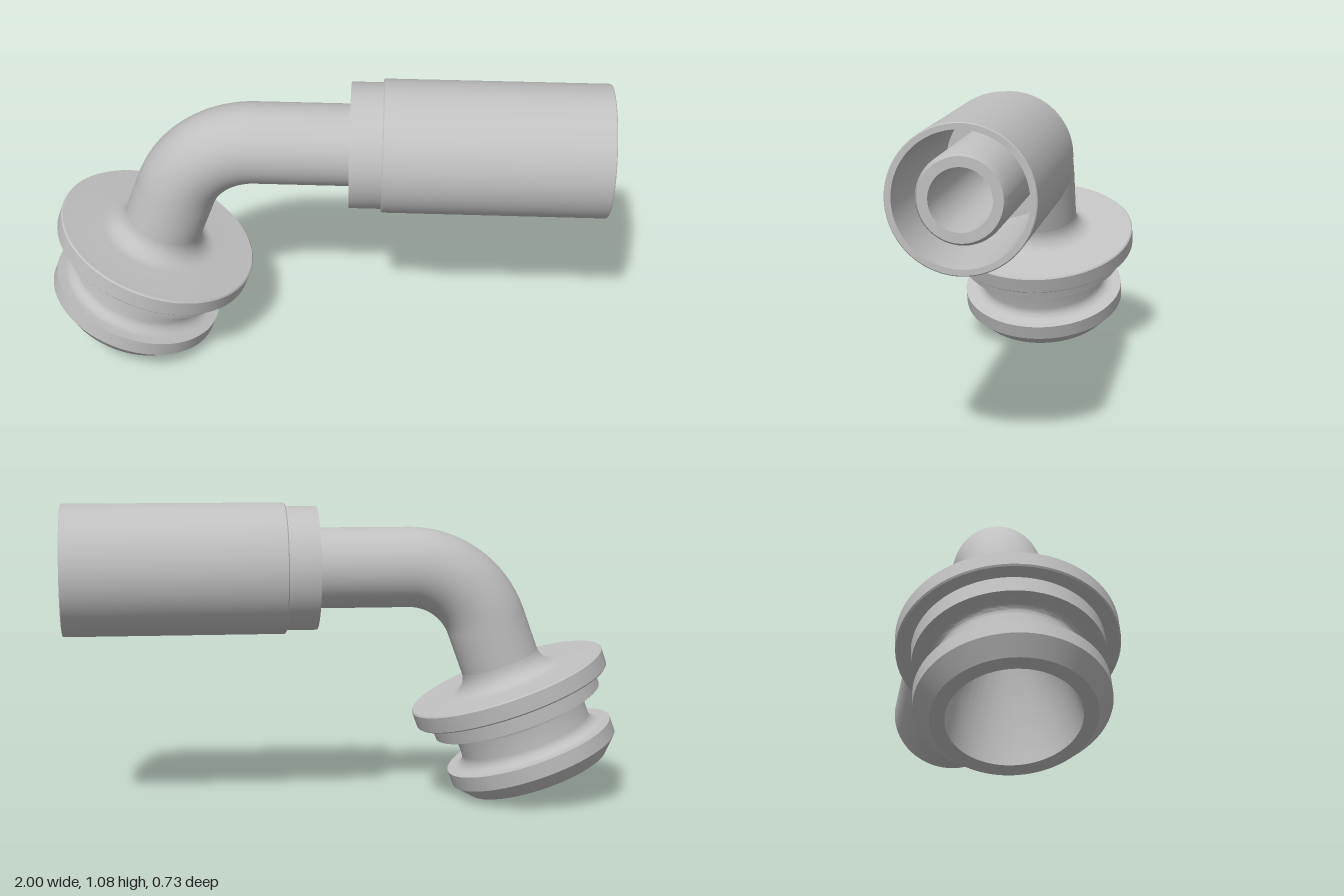
import * as THREE from 'three';
import { toCreasedNormals } from 'three/addons/utils/BufferGeometryUtils.js';

const PIPE_Y = 0.855, BEND_X = -0.235, BEND_R = 0.307, TURN = THREE.MathUtils.degToRad(70);
const DROP = 0.223; // straight pipe between bend and flange

// Centre line: straight run, 70 degree bend, short drop to the flange
class PipePath extends THREE.Curve {
  constructor(startX) {
    super();
    this.startX = startX;
  }
  getPoint(t, target = new THREE.Vector3()) {
    const run = this.startX - BEND_X, arc = BEND_R * TURN;
    const s = t * (run + arc + DROP);
    if (s <= run) return target.set(this.startX - s, PIPE_Y, 0);
    const a = Math.min((s - run) / BEND_R, TURN), rest = Math.max(0, s - run - arc);
    return target.set(
      BEND_X - BEND_R * Math.sin(a) - rest * Math.cos(a),
      PIPE_Y - BEND_R * (1 - Math.cos(a)) - rest * Math.sin(a), 0);
  }
}

// Points of a quarter-round fillet
function fillet(cx, cy, r, from, to, steps = 8) {
  return Array.from({ length: steps + 1 }, (_, i) => {
    const a = THREE.MathUtils.degToRad(from + (to - from) * i / steps);
    return [cx + r * Math.cos(a), cy + r * Math.sin(a)];
  });
}

export function createModel() {
  const group = new THREE.Group();
  const steel = new THREE.MeshStandardMaterial({ color: 0xc0c0c0, side: THREE.DoubleSide });
  steel.name = 'steel';

  const add = (name, geometry) => {
    const mesh = new THREE.Mesh(geometry, steel);
    mesh.name = name;
    group.add(mesh);
    return mesh;
  };
  const turned = (name, profile) => add(name, toCreasedNormals(
    new THREE.LatheGeometry(profile.map(([r, y]) => new THREE.Vector2(r, y)), 96), 0.45));
  const alongX = (name, profile) => {
    const mesh = turned(name, profile);
    mesh.rotation.z = -Math.PI / 2;
    mesh.position.y = PIPE_Y;
  };

  // Bent pipe and its bore
  add('bentPipe', new THREE.TubeGeometry(new PipePath(0.15), 80, 0.145, 64));
  add('pipeBore', new THREE.TubeGeometry(new PipePath(0.98), 120, 0.1, 64));

  // Crimp collar, hollow sleeve and inner nipple
  alongX('collar', [[0.145, 0.1], [0.222, 0.1], [0.222, 0.212]]);
  alongX('sleeve', [[0.2, 0.212], [0.231, 0.212], [0.235, 0.216], [0.235, 0.997], [0.232, 1],
    [0.213, 1], [0.2, 0.25], [0.14, 0.25]]);
  alongX('nipple', [[0.145, 0.25], [0.145, 0.97], [0.133, 1], [0.1, 1], [0.1, 0.97]]);

  // Tilted flange head: bore, end ring, groove, step, flange and neck fillet
  const head = turned('flangeHead', [
    [0.1, 0], [0.19, -0.2], [0.217, -0.37], [0.265, -0.37], [0.315, -0.315], [0.315, -0.26],
    ...fillet(0.285, -0.22, 0.04, 270, 180),
    ...fillet(0.27, -0.153, 0.025, 180, 90),
    [0.316, -0.128], [0.316, -0.066], [0.361, -0.066], [0.366, -0.061], [0.366, -0.005], [0.361, 0],
    ...fillet(0.215, 0.07, 0.07, 270, 180),
  ]);
  head.position.copy(new PipePath(0).getPoint(1));
  head.rotation.z = TURN - Math.PI / 2;

  return group;
}
